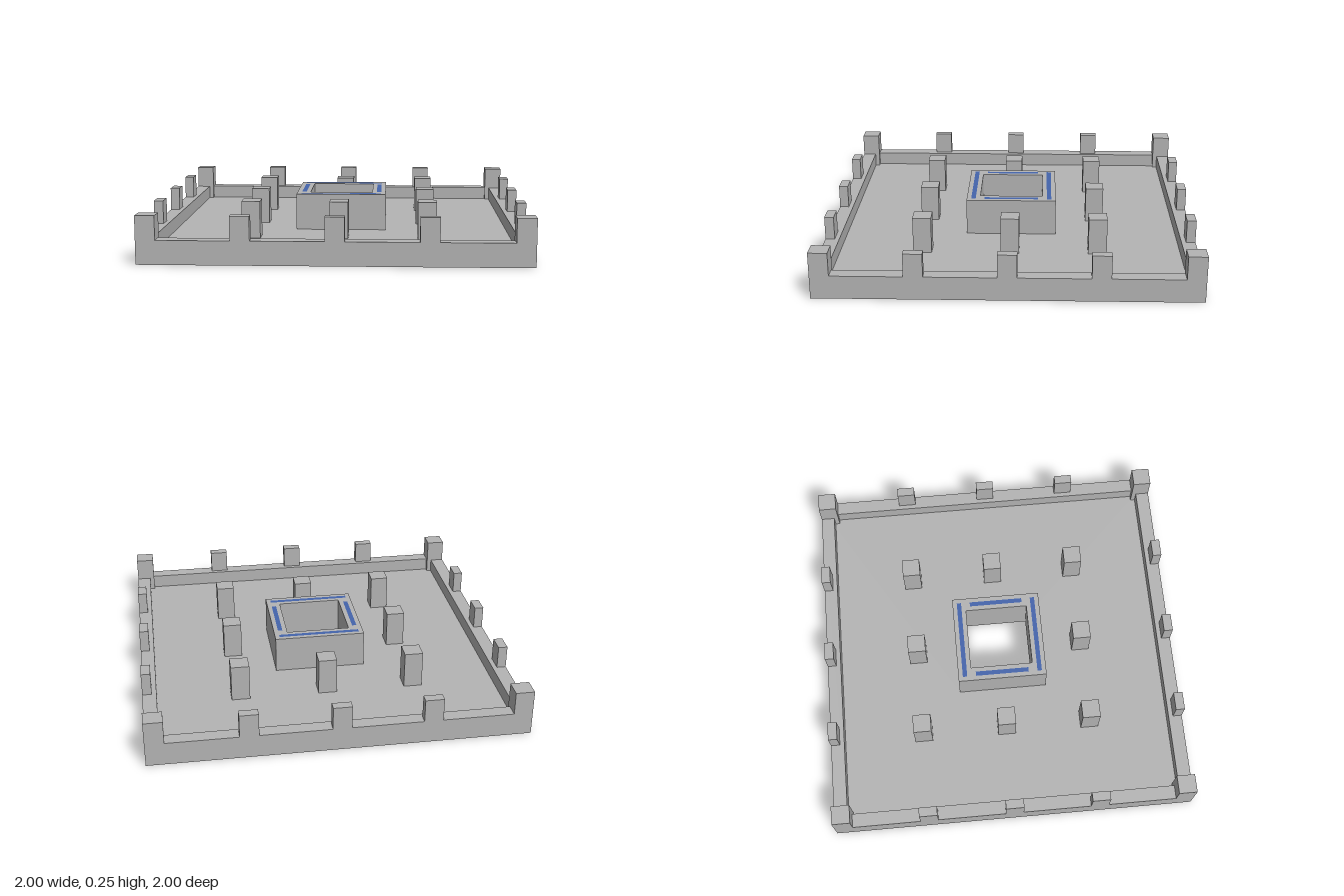
import * as THREE from 'three';

const FLOOR = 0.05, WALL = 0.125, TOP = 0.25;

export function createModel() {
  const model = new THREE.Group();
  model.name = 'baseTile';
  const grey = new THREE.MeshStandardMaterial({ color: 0xb4b4b4 });
  grey.name = 'stone grey';
  const blue = new THREE.MeshStandardMaterial({ color: 0x4464ac });
  blue.name = 'inlay blue';

  const add = (name, geometry, material, x = 0, y = 0, z = 0) => {
    const mesh = new THREE.Mesh(geometry, material);
    mesh.name = name;
    mesh.position.set(x, y, z);
    model.add(mesh);
    return mesh;
  };
  // Box standing between two heights
  const block = (name, w, d, y0, y1, x, z, material = grey) =>
    add(name, new THREE.BoxGeometry(w, y1 - y0, d), material, x, (y0 + y1) / 2, z);

  const rect = (target, w, d, x = 0, z = 0) => {
    target.moveTo(x - w / 2, z - d / 2);
    target.lineTo(x + w / 2, z - d / 2);
    target.lineTo(x + w / 2, z + d / 2);
    target.lineTo(x - w / 2, z + d / 2);
    target.closePath();
    return target;
  };
  // Flat slab with rectangular holes, standing on y = 0
  const slab = (name, size, height, holes) => {
    const shape = rect(new THREE.Shape(), size, size);
    shape.holes = holes.map(h => rect(new THREE.Path(), ...h));
    const geometry = new THREE.ExtrudeGeometry(shape, { depth: height, bevelEnabled: false });
    geometry.rotateX(-Math.PI / 2);
    add(name, geometry, grey);
  };

  // Floor and raised collar around the square opening
  const strips = [
    [0.45, 0.025, 0, 0.2125], [0.45, 0.025, 0, -0.2125],
    [0.025, 0.3, 0.2125, 0], [0.025, 0.3, -0.2125, 0],
  ];
  slab('floor', 2, FLOOR, [[0.5, 0.5]]);
  slab('collar', 0.5, TOP, [[0.35, 0.35], ...strips]);

  // Blue inlays running through the collar
  for (const [w, d, x, z] of strips) block('collarInlay', w, d, 0, TOP, x, z, blue);

  const steps = [-0.475, 0, 0.475];
  for (const s of [-1, 1]) {
    // Rim walls between the corner posts
    block('rimWall', 1.8, 0.075, FLOOR, WALL, 0, s * 0.9625);
    block('rimWall', 0.075, 1.8, FLOOR, WALL, s * 0.9625, 0);
    for (const t of [-1, 1]) block('cornerPost', 0.1, 0.1, FLOOR, TOP, s * 0.95, t * 0.95);
    // Half posts on the rim
    for (const p of steps) {
      block('rimPost', 0.1, 0.05, WALL, TOP, p, s * 0.975);
      block('rimPost', 0.05, 0.1, WALL, TOP, s * 0.975, p);
    }
  }

  // Free-standing posts around the collar
  for (const x of steps) for (const z of steps)
    if (x || z) block('innerPost', 0.1, 0.1, FLOOR, TOP, x, z);

  return model;
}
